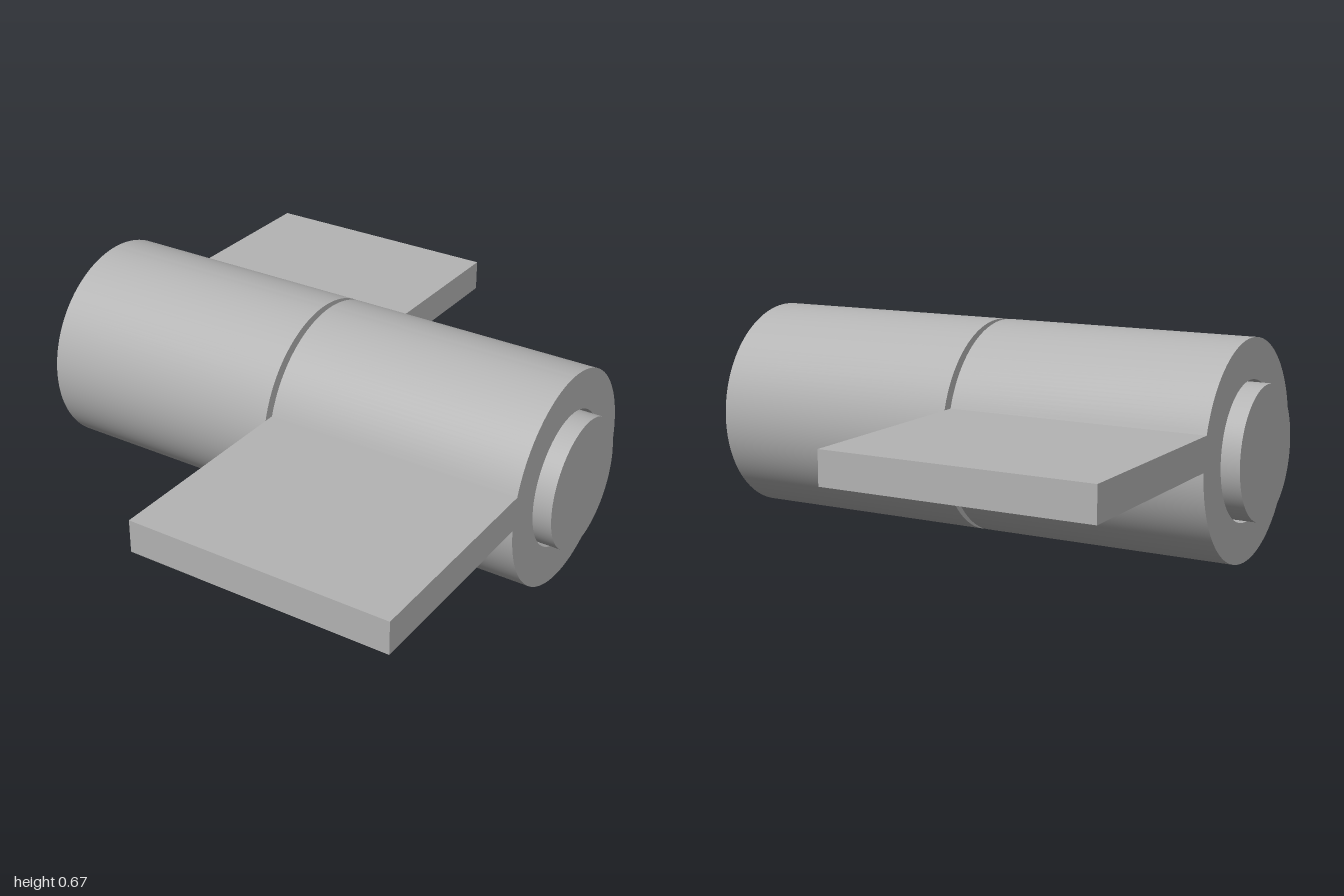
import * as THREE from 'three';
import { toCreasedNormals } from 'three/addons/utils/BufferGeometryUtils.js';

const R = 0.337;        // barrel radius, also the height of the axis
const HOLE_R = 0.213;
const PIN_R = 0.205;
const LEAF = 0.103;     // leaf thickness, rising from the axis level
const GAP = 0.01;       // half the gap between the barrels
const END = 0.84;       // outer end of each barrel

// Barrel with a tangential leaf, drawn in (z, y) around the axis and extruded along x
function leafGeometry() {
  const shape = new THREE.Shape();
  shape.moveTo(R, 0);
  shape.lineTo(1, 0);
  shape.lineTo(1, LEAF);
  shape.lineTo(Math.sqrt(R * R - LEAF * LEAF), LEAF);
  shape.absarc(0, 0, R, Math.asin(LEAF / R), Math.PI * 2, false);
  const hole = new THREE.Path();
  hole.absarc(0, 0, HOLE_R, 0, Math.PI * 2, true);
  shape.holes.push(hole);
  const geometry = new THREE.ExtrudeGeometry(shape, {
    depth: END - GAP, bevelEnabled: false, curveSegments: 72,
  });
  geometry.rotateY(-Math.PI / 2);
  geometry.translate(END, R, 0);
  return toCreasedNormals(geometry, Math.PI / 7);
}

export function createModel() {
  const steel = new THREE.MeshStandardMaterial({ color: 0xb4b4b4 });
  steel.name = 'steel grey';
  const model = new THREE.Group();
  model.name = 'hinge';

  // Two identical leaves, the second turned half way round
  const geometry = leafGeometry();
  ['frontLeaf', 'backLeaf'].forEach((name, i) => {
    const leaf = new THREE.Mesh(geometry, steel);
    leaf.name = name;
    leaf.rotation.y = i * Math.PI;
    model.add(leaf);
  });

  // Pin through both barrels
  const pin = new THREE.Mesh(new THREE.CylinderGeometry(PIN_R, PIN_R, 1.79, 72), steel);
  pin.name = 'pin';
  pin.rotation.z = Math.PI / 2;
  pin.position.y = R;
  model.add(pin);

  return model;
}
